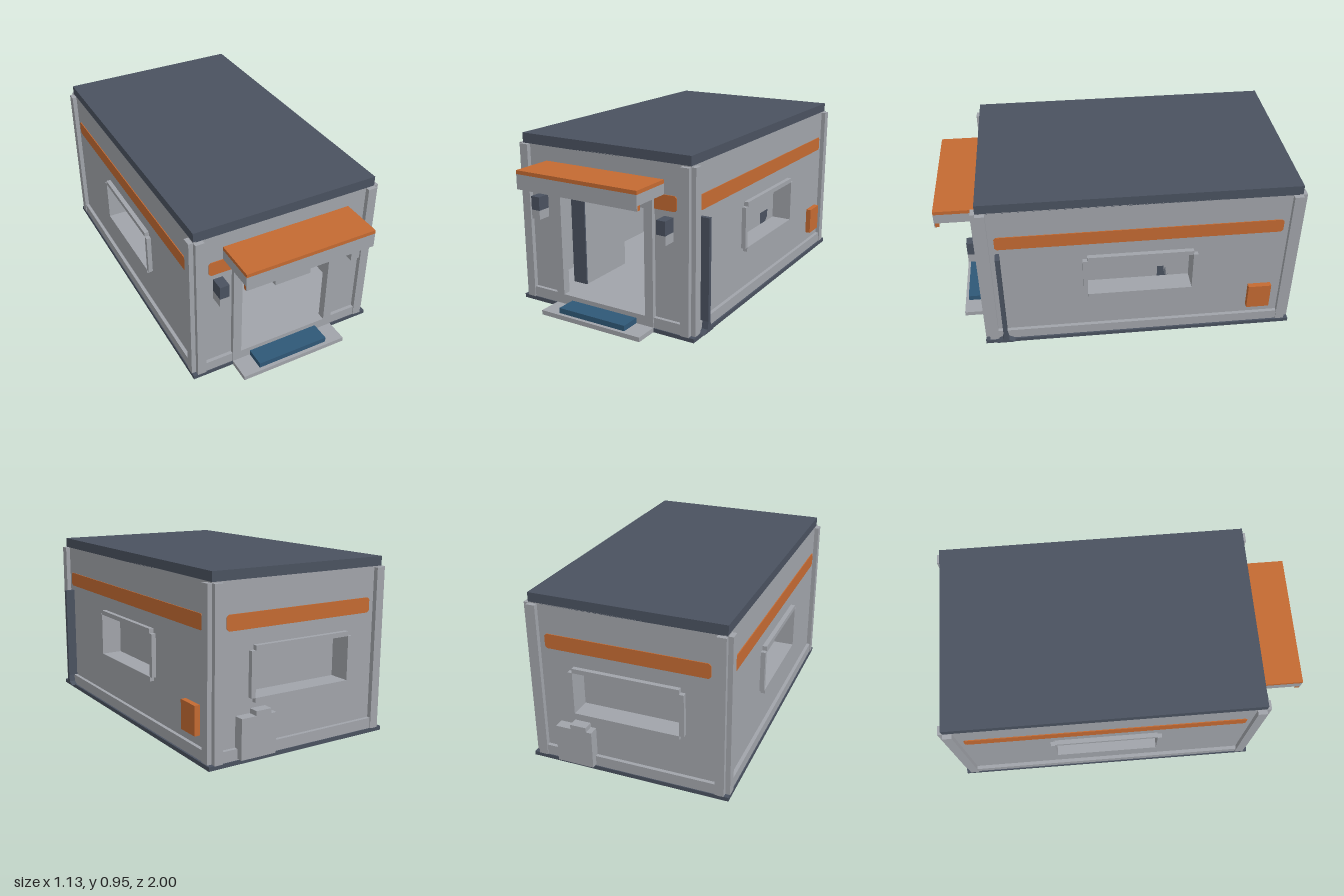
import * as THREE from 'three';

const material = (name, color) => {
  const m = new THREE.MeshStandardMaterial({ color });
  m.name = name;
  return m;
};

export function createModel() {
  const grey = material('panelGrey', 0xa1a4aa);
  const slate = material('slate', 0x4a5260);
  const orange = material('orange', 0xc46a32);
  const blue = material('stepBlue', 0x2f5877);

  const model = new THREE.Group();
  model.name = 'cabin';

  // Box given by its limits on each axis
  const box = (parent, name, mat, x0, x1, y0, y1, z0, z1) => {
    const mesh = new THREE.Mesh(new THREE.BoxGeometry(x1 - x0, y1 - y0, z1 - z0), mat);
    mesh.position.set((x0 + x1) / 2, (y0 + y1) / 2, (z0 + z1) / 2);
    mesh.name = name;
    parent.add(mesh);
    return mesh;
  };

  const shapeOf = (points) => new THREE.Shape(points.map(([x, y]) => new THREE.Vector2(x, y)));
  const extrude = (parent, name, mat, shape, depth, z) => {
    const mesh = new THREE.Mesh(
      new THREE.ExtrudeGeometry(shape, { depth, bevelEnabled: false }), mat);
    mesh.position.z = z;
    mesh.name = name;
    parent.add(mesh);
    return mesh;
  };

  // Thin painted band with clipped corners
  const stripe = (side, u0, u1) => {
    const c = 0.012, a = 0.66, b = 0.74;
    extrude(side, 'stripe', orange, shapeOf([
      [u0 + c, a], [u1 - c, a], [u1, a + c], [u1, b - c],
      [u1 - c, b], [u0 + c, b], [u0, b - c], [u0, a + c],
    ]), 0.005, 0);
  };

  // One wall facing +z: panel with an opening, corner posts and bottom rail
  const makeSide = (name, half, hole, x, z, turn) => {
    const side = new THREE.Group();
    side.name = name;
    side.position.set(x, 0, z);
    side.rotation.y = turn;
    model.add(side);
    const [u, v0, v1] = hole;
    const shape = shapeOf([[-half, 0.02], [half, 0.02], [half, 0.9], [-half, 0.9]]);
    shape.holes.push(new THREE.Path([[-u, v0], [-u, v1], [u, v1], [u, v0]]
      .map(([a, b]) => new THREE.Vector2(a, b))));
    extrude(side, 'wallPanel', grey, shape, 0.02, -0.02);
    for (const s of [-1, 1]) {
      const c = s * (half - 0.025);
      box(side, 'cornerPost', grey, c - 0.025, c + 0.025, 0.02, 0.895, -0.01, 0.025);
    }
    return side;
  };

  const addWindow = (side) => {
    for (const [a, b] of [[0.295, 0.32], [0.555, 0.58]])
      box(side, 'windowRail', grey, -0.29, 0.29, a, b, -0.1, 0.025);
    for (const s of [-1, 1])
      box(side, 'windowJamb', grey, s * 0.3025 - 0.0125, s * 0.3025 + 0.0125, 0.32, 0.555, -0.1, 0.025);
    box(side, 'windowPane', grey, -0.295, 0.295, 0.315, 0.56, -0.1, -0.09);
  };

  const windowHole = [0.29, 0.32, 0.555];
  const front = makeSide('frontWall', 0.525, [0.265, 0.08, 0.66], -0.015, 0.765, 0);
  const back = makeSide('backWall', 0.525, windowHole, -0.015, -0.945, Math.PI);
  const right = makeSide('rightWall', 0.855, windowHole, 0.51, -0.09, Math.PI / 2);
  const left = makeSide('leftWall', 0.855, windowHole, -0.54, -0.09, -Math.PI / 2);

  for (const [side, half] of [[back, 0.525], [right, 0.855], [left, 0.855]]) {
    addWindow(side);
    stripe(side, -half + 0.08, half - 0.08);
    box(side, 'bottomRail', grey, -half + 0.05, half - 0.05, 0.02, 0.08, -0.01, 0.02);
  }

  // Door surround and front rails
  for (const s of [-1, 1]) {
    stripe(front, s < 0 ? -0.445 : 0.3, s < 0 ? -0.3 : 0.445);
    box(front, 'doorJamb', grey, s * 0.29 - 0.025, s * 0.29 + 0.025, 0.02, 0.66, -0.02, 0.025);
    box(front, 'bottomRail', grey, s * 0.395 - 0.08, s * 0.395 + 0.08, 0.02, 0.08, -0.01, 0.02);
  }
  box(front, 'doorLintel', grey, -0.315, 0.315, 0.66, 0.715, -0.02, 0.025);
  box(front, 'doorSill', grey, -0.265, 0.265, 0.02, 0.08, -0.02, 0.025);

  // Roof and base frame
  box(model, 'roof', slate, -0.54, 0.51, 0.895, 0.95, -0.945, 0.765);
  for (const [a, b] of [[-0.565, -0.5], [0.47, 0.54]])
    box(model, 'baseSideBeam', slate, a, b, 0, 0.022, -0.97, 0.79);
  for (const [a, b] of [[-0.97, -0.905], [0.725, 0.79]])
    box(model, 'baseEndBeam', slate, -0.5, 0.47, 0, 0.022, a, b);

  // Floor with orange skirt in the groove beneath
  box(model, 'floor', grey, -0.525, 0.495, 0.05, 0.06, -0.93, 0.75);
  box(model, 'underfloor', grey, -0.46, 0.43, 0.004, 0.05, -0.87, 0.69);
  for (const x of [-0.465, 0.43])
    box(model, 'sideSkirt', orange, x, x + 0.005, 0.004, 0.05, -0.87, 0.69);
  box(model, 'backSkirt', orange, -0.37, 0.3, 0.004, 0.05, -0.875, -0.87);

  // Entrance steps
  box(model, 'landing', grey, -0.33, 0.3, 0, 0.025, 0.78, 0.92);
  box(model, 'stepMat', blue, -0.225, 0.195, 0.025, 0.055, 0.78, 0.9);

  // Canopy over the door
  box(model, 'canopyTop', orange, -0.38, 0.355, 0.795, 0.815, 0.76, 1);
  box(model, 'canopyBody', grey, -0.38, 0.355, 0.74, 0.795, 0.76, 0.995);
  box(model, 'canopyFascia', grey, -0.38, 0.355, 0.715, 0.795, 0.995, 1);
  box(model, 'canopyLip', orange, -0.38, 0.355, 0.715, 0.74, 0.975, 0.995);

  // Lamps beside the door
  for (const x of [-0.435, 0.355]) {
    box(model, 'lampHood', slate, x, x + 0.053, 0.555, 0.63, 0.76, 0.84);
    box(model, 'lampBody', grey, x, x + 0.053, 0.505, 0.555, 0.76, 0.84);
  }

  // Flared downpipe on the right side
  const pipe = extrude(model, 'downpipe', slate, shapeOf([
    [-0.05, 0.022], [0.05, 0.022], [0.018, 0.04], [0.011, 0.08],
    [0.011, 0.63], [-0.011, 0.63], [-0.011, 0.08], [-0.018, 0.04],
  ]), 0.055, 0);
  pipe.rotation.y = Math.PI / 2;
  pipe.position.set(0.51, 0, 0.675);

  // Service boxes
  box(model, 'serviceHatch', orange, 0.5, 0.54, 0.135, 0.29, -0.84, -0.71);
  box(model, 'powerBox', grey, 0.17, 0.375, 0.03, 0.24, -1, -0.94);
  box(model, 'powerBoxCap', grey, 0.2, 0.29, 0.24, 0.265, -1, -0.94);

  // Interior fittings
  box(model, 'cabinet', grey, -0.38, -0.29, 0.06, 0.8, 0.2, 0.57);
  box(model, 'cabinetDoor', slate, -0.38, -0.29, 0.06, 0.8, 0.57, 0.579);
  box(model, 'bench', grey, 0.17, 0.42, 0.06, 0.24, -0.3, 0.4);
  box(model, 'benchBack', slate, 0.22, 0.42, 0.24, 0.39, -0.3, -0.2);
  return model;
}
